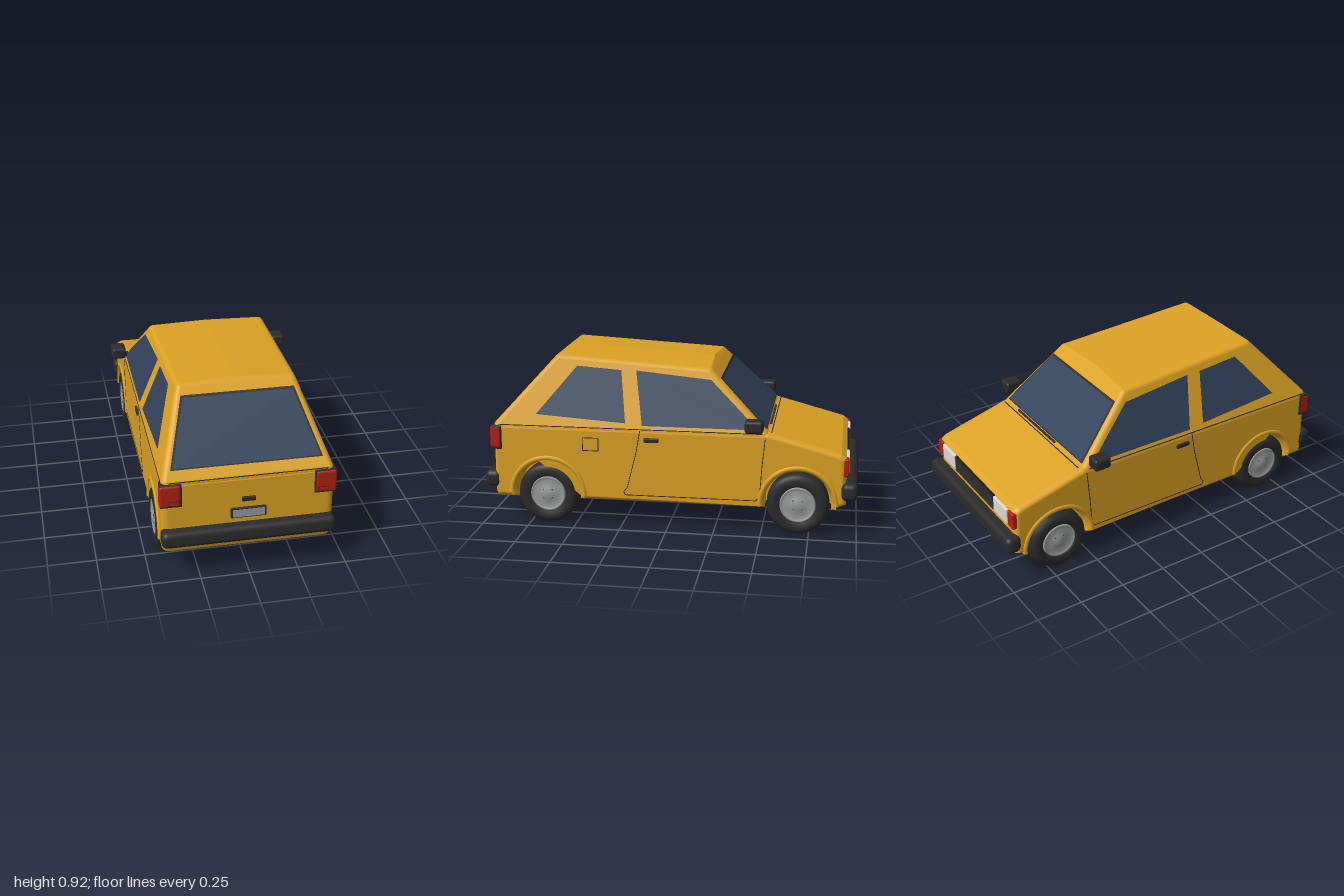
import * as THREE from 'three';
import { ConvexGeometry } from 'three/addons/geometries/ConvexGeometry.js';
import { RoundedBoxGeometry } from 'three/addons/geometries/RoundedBoxGeometry.js';

const paint = (name, color, side = THREE.FrontSide) => {
  const m = new THREE.MeshStandardMaterial({ color, side });
  m.name = name;
  return m;
};

export function createModel() {
  const car = new THREE.Group();
  car.name = 'hatchback';
  const yellow = paint('yellowPaint', 0xdca224);
  const glass = paint('tintedGlass', 0x32435a, THREE.DoubleSide);
  const black = paint('blackPlastic', 0x2b2b2b, THREE.DoubleSide);
  const floor = paint('darkUnderside', 0x1c1c1c);
  const red = paint('redLens', 0xb0200e);
  const amber = paint('amberLens', 0xc45a14);
  const silver = paint('silverMetal', 0x9a9c9c);
  const white = paint('headlightGlass', 0xdadad2);

  const add = (name, geo, mat, x = 0, y = 0, z = 0) => {
    const m = new THREE.Mesh(geo, mat);
    m.name = name;
    m.position.set(x, y, z);
    car.add(m);
    return m;
  };
  const box = (name, mat, w, h, d, x, y, z) => add(name, new THREE.BoxGeometry(w, h, d), mat, x, y, z);
  const rbox = (name, mat, w, h, d, r, x, y, z) => add(name, new RoundedBoxGeometry(w, h, d, 4, r), mat, x, y, z);
  // flat convex panel from its corners
  const panel = (name, mat, pts) => {
    const g = new THREE.BufferGeometry().setFromPoints(pts.map(p => new THREE.Vector3(...p)));
    const idx = [];
    for (let i = 1; i < pts.length - 1; i++) idx.push(0, i, i + 1);
    g.setIndex(idx);
    g.computeVertexNormals();
    return add(name, g, mat);
  };

  const wheelZ = [0.65, -0.69], hubY = 0.165, archR = 0.175;

  // Lower body: side profile with wheel arches, bevelled at the flanks
  const profile = new THREE.Shape();
  profile.moveTo(-0.93, 0.14);
  for (const z of [...wheelZ].reverse()) {
    const a = Math.asin((hubY - 0.14) / archR);
    profile.absarc(z, hubY, archR, Math.PI + a, -a, true);
  }
  [[0.935, 0.14], [0.945, 0.17], [0.945, 0.52], [0.935, 0.547], [-0.53, 0.547],
    [-0.91, 0.446], [-0.937, 0.425], [-0.94, 0.17]].forEach(p => profile.lineTo(...p));
  const bodyGeo = new THREE.ExtrudeGeometry(profile, {
    depth: 0.79, bevelThickness: 0.04, bevelSize: 0.025, bevelOffset: -0.025, bevelSegments: 5, curveSegments: 28,
  });
  bodyGeo.translate(0, 0, -0.395);
  bodyGeo.rotateY(-Math.PI / 2);
  add('lowerBody', bodyGeo, yellow);

  // Cabin: hull around small spheres, with a slightly crowned roof
  const hull = [new THREE.Vector3(0, 0.915, 0.6), new THREE.Vector3(0, 0.868, -0.2)];
  const ball = new THREE.SphereGeometry(0.03, 24, 16).attributes.position;
  for (const s of [-1, 1]) {
    for (const [x, y, z] of [[0.403, 0.53, 0.913], [0.28, 0.873, 0.603], [0.297, 0.825, -0.203], [0.403, 0.53, -0.502]]) {
      for (let i = 0; i < ball.count; i++) {
        hull.push(new THREE.Vector3().fromBufferAttribute(ball, i).add(new THREE.Vector3(s * x, y, z)));
      }
    }
  }
  add('cabin', new ConvexGeometry(hull), yellow);

  // Windows follow the sloping cabin faces
  const sideX = y => 0.43 - 0.36 * (y - 0.545) + 0.004;
  const rearZ = (y, e) => 0.94 - 0.904 * (y - 0.545) + e;
  const frontZ = (y, e) => -0.53 + 1.016 * (y - 0.545) - e;
  const endWindow = (name, mat, zAt, e, yTop, xTop, yLow, xLow) => panel(name, mat, [
    [-xLow, yLow, zAt(yLow, e)], [xLow, yLow, zAt(yLow, e)], [xTop, yTop, zAt(yTop, e)], [-xTop, yTop, zAt(yTop, e)]]);
  endWindow('rearWindowSeal', black, rearZ, 0.004, 0.862, 0.287, 0.588, 0.382);
  endWindow('rearWindow', glass, rearZ, 0.008, 0.854, 0.279, 0.595, 0.37);
  endWindow('windscreenSeal', black, frontZ, 0.004, 0.807, 0.317, 0.558, 0.397);
  endWindow('windscreen', glass, frontZ, 0.008, 0.8, 0.309, 0.565, 0.385);
  const sideWindows = {
    frontSideWindow: [[0.18, 0.835], [-0.22, 0.8], [-0.43, 0.605], [-0.445, 0.56], [0.135, 0.56]],
    rearSideWindow: [[0.5, 0.85], [0.26, 0.835], [0.225, 0.57], [0.71, 0.6]],
  };

  // Thin seam on a flank, through (z, y) points
  const seam = (name, s, pts) => {
    for (let i = 0; i < pts.length - 1; i++) {
      const [z0, y0] = pts[i], [z1, y1] = pts[i + 1];
      const m = box(name, black, 0.003, 0.004, Math.hypot(z1 - z0, y1 - y0), s * 0.435, (y0 + y1) / 2, (z0 + z1) / 2);
      m.rotation.x = -Math.atan2(y1 - y0, z1 - z0);
    }
  };

  // Wheel parts shared by all four corners
  const tyreGeo = new THREE.LatheGeometry([[0.02, -0.06], [0.135, -0.06], [0.153, -0.052], [0.163, -0.035], [0.165, 0],
    [0.163, 0.035], [0.153, 0.052], [0.135, 0.06], [0.102, 0.06], [0.094, 0.045]].map(p => new THREE.Vector2(...p)), 40);
  const rimGeo = new THREE.LatheGeometry([[0.096, 0.04], [0.094, 0.056], [0.086, 0.058], [0.078, 0.048], [0.035, 0.054],
    [0.03, 0.062], [0, 0.063]].map(p => new THREE.Vector2(...p)), 32);
  const flareGeo = new THREE.TorusGeometry(0.2, 0.014, 8, 32, Math.PI);
  flareGeo.rotateY(-Math.PI / 2);

  for (const s of [-1, 1]) {
    for (const [name, pts] of Object.entries(sideWindows)) {
      panel(name, glass, pts.map(([z, y]) => [s * sideX(y), y, z]));
    }
    for (const z of wheelZ) {
      for (const [name, geo, mat] of [['tyre', tyreGeo, black], ['wheelRim', rimGeo, silver]]) {
        add(name, geo, mat, s * 0.382, hubY, z).rotation.z = -s * Math.PI / 2;
      }
      for (let i = 0; i < 4; i++) {
        const a = i * Math.PI / 2 + Math.PI / 4;
        const nut = add('wheelNut', new THREE.CylinderGeometry(0.005, 0.005, 0.006, 8), black,
          s * 0.438, hubY + 0.03 * Math.sin(a), z + 0.03 * Math.cos(a));
        nut.rotation.z = Math.PI / 2;
      }
      add('archFlare', flareGeo, yellow, s * 0.43, hubY, z);
    }
    // Doors and trim
    seam('doorSeam', s, [[0.145, 0.535], [0.165, 0.42], [0.215, 0.22], [0.235, 0.195], [0.225, 0.178],
      [-0.47, 0.178], [-0.49, 0.2], [-0.5, 0.36], [-0.515, 0.52]]);
    seam('beltSeam', s, [[0.915, 0.541], [-0.5, 0.541]]);
    rbox('doorHandle', black, 0.016, 0.024, 0.08, 0.006, s * 0.438, 0.485, 0.085);
    rbox('mirror', black, 0.08, 0.066, 0.095, 0.016, s * 0.473, 0.593, -0.46);
    box('mirrorArm', black, 0.07, 0.02, 0.03, s * 0.42, 0.573, -0.455);
    // Lamps
    rbox('tailLampSurround', black, 0.11, 0.13, 0.055, 0.006, s * 0.388, 0.47, 0.925);
    rbox('tailLamp', red, 0.105, 0.12, 0.06, 0.012, s * 0.392, 0.471, 0.93);
    box('reverseLampRim', black, 0.058, 0.026, 0.002, s * 0.375, 0.433, 0.9605);
    box('reverseLamp', red, 0.052, 0.02, 0.004, s * 0.375, 0.433, 0.961);
    rbox('cornerLamp', red, 0.055, 0.095, 0.05, 0.008, s * 0.402, 0.375, -0.925);
    rbox('headlight', white, 0.145, 0.09, 0.04, 0.006, s * 0.297, 0.375, -0.933);
    box('frontMarker', amber, 0.09, 0.016, 0.008, s * 0.27, 0.178, -0.94);
    box('wiper', black, 0.2, 0.008, 0.01, s * 0.1 + 0.06, 0.556, -0.532);
  }
  // Fuel flap outline on one side
  seam('fuelFlapSeam', 1, [[0.37, 0.415], [0.455, 0.415], [0.455, 0.485], [0.37, 0.485], [0.37, 0.415]]);
  box('bonnetSeam', black, 0.8, 0.003, 0.005, 0, 0.544, -0.545);
  box('tailgateSeam', black, 0.8, 0.004, 0.003, 0, 0.54, 0.942);

  // Grille with horizontal slats
  box('grille', floor, 0.44, 0.092, 0.03, 0, 0.375, -0.932);
  for (let i = 0; i < 5; i++) box('grilleSlat', black, 0.43, 0.008, 0.01, 0, 0.339 + i * 0.018, -0.948);

  // Bumpers, number plate and tailgate handle
  rbox('rearBumper', black, 0.884, 0.092, 0.09, 0.03, 0, 0.234, 0.955);
  rbox('frontBumper', black, 0.92, 0.095, 0.085, 0.03, 0, 0.247, -0.957);
  rbox('plateFrame', black, 0.18, 0.056, 0.02, 0.005, 0, 0.337, 0.947);
  box('plate', silver, 0.162, 0.042, 0.004, 0, 0.337, 0.957);
  rbox('tailgateHandle', black, 0.07, 0.024, 0.02, 0.005, 0, 0.414, 0.947);

  // Underside
  rbox('floorPan', floor, 0.61, 0.09, 1.26, 0.012, 0, 0.15, -0.03);
  for (const z of wheelZ) box('innerWheelHousing', yellow, 0.62, 0.24, 0.37, 0, 0.262, z);

  return car;
}
